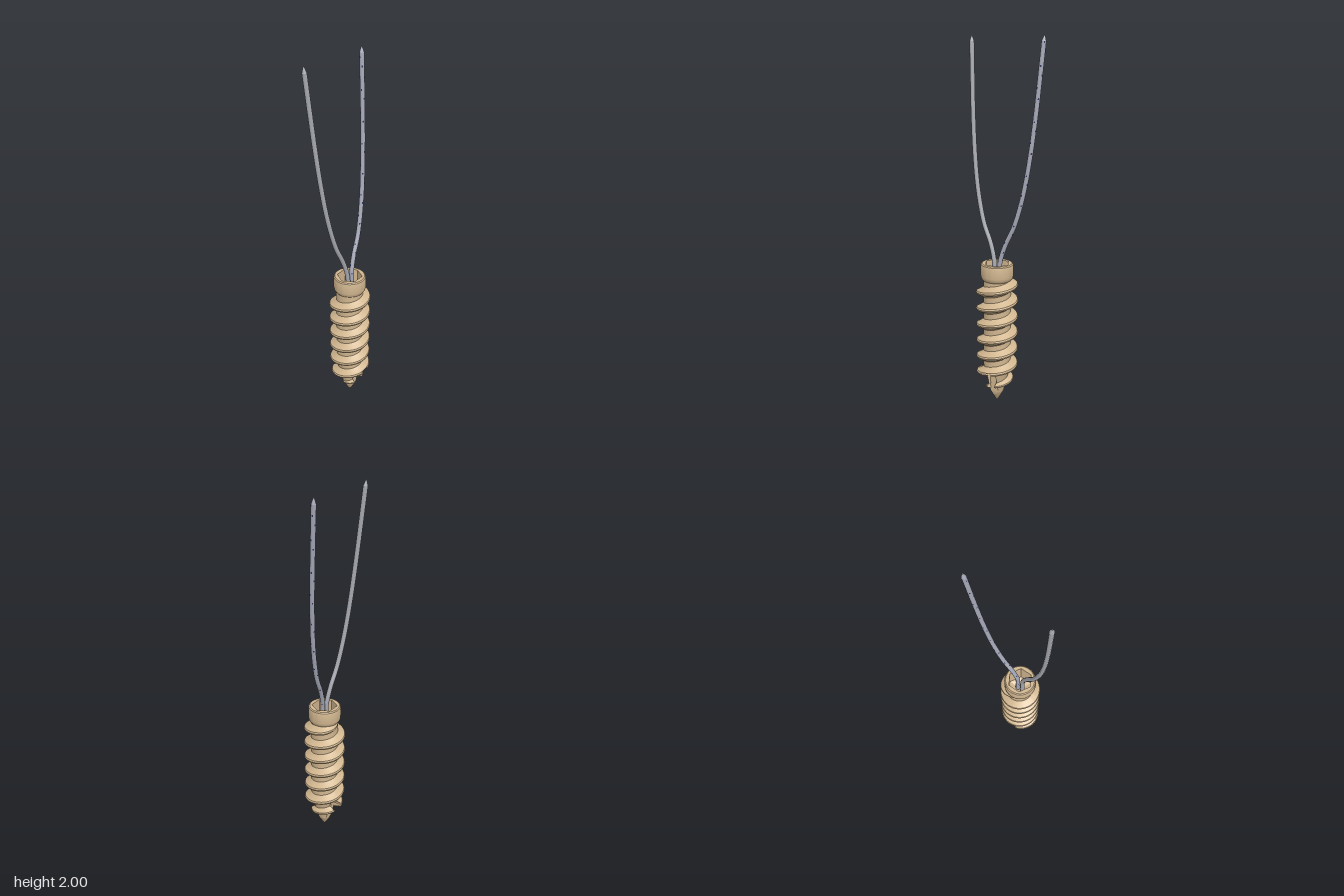
import * as THREE from 'three';
import { toCreasedNormals } from 'three/addons/utils/BufferGeometryUtils.js';

const PITCH = 0.093;
const { lerp, clamp, smoothstep } = THREE.MathUtils;

const mat = (name, color) => {
  const m = new THREE.MeshStandardMaterial({ color });
  m.name = name;
  return m;
};

// radius of the solid core at a height, tapering to the point
function coreRadius(y) {
  const p = [[0, 0.002], [0.06, 0.037], [0.1, 0.047], [0.22, 0.075], [1, 0.075]];
  const i = Math.max(1, p.findIndex(q => q[0] >= y));
  const [a, b] = [p[i - 1], p[i]];
  return lerp(a[1], b[1], clamp((y - a[0]) / (b[0] - a[0]), 0, 1));
}

// cutting flutes: flatten the front and back near the tip
function cutFlutes(geo) {
  const p = geo.attributes.position;
  for (let i = 0; i < p.count; i++) {
    const x = p.getX(i), y = p.getY(i), z = p.getZ(i);
    if (y < 0.2 && y > 0.04 && Math.abs(x) < 0.025 && Math.abs(z) > 0.032) p.setZ(i, Math.sign(z) * 0.032);
  }
  return toCreasedNormals(geo, 0.6);
}

function lathe(points, segments = 72) {
  return new THREE.LatheGeometry(points.map(p => new THREE.Vector2(...p)), segments);
}

// right-handed helical ridge swept along the core
function threadGeometry() {
  const steps = 72, first = Math.round(-6.75 * steps), last = Math.round(0.36 * steps);
  const pos = [], index = [];
  const profile = [[0, -0.033], [0.45, -0.02], [0.92, -0.009], [1, 0], [0.92, 0.009], [0.45, 0.02], [0, 0.033]];
  const n = profile.length;
  for (let i = first; i <= last; i++) {
    const a = i / steps * Math.PI * 2, yc = 0.685 + PITCH * i / steps;
    const outer = Math.min(0.115, 0.04 + (yc - 0.05) * 0.6);
    const fade = smoothstep(i, first, first + 30) * (1 - smoothstep(i, last - 22, last));
    const size = clamp(yc / 0.2, 0.4, 1);
    for (const [h, dy] of profile) {
      const y = yc + dy * size * (0.3 + 0.7 * fade);
      const root = coreRadius(y) - 0.003;
      const r = lerp(root, Math.max(outer, root), h * fade);
      pos.push(r * Math.cos(a), y, -r * Math.sin(a));
    }
  }
  for (let i = 0; i < last - first; i++) {
    for (let j = 0; j < n - 1; j++) {
      const k = i * n + j;
      index.push(k, k + n, k + 1, k + n, k + n + 1, k + 1);
    }
  }
  const g = new THREE.BufferGeometry();
  g.setAttribute('position', new THREE.Float32BufferAttribute(pos, 3));
  g.setIndex(index);
  return cutFlutes(g);
}

export function createModel() {
  const model = new THREE.Group();
  const tan = mat('tan', 0xd2b790);
  const grey = mat('grey', 0xa6a8b0);
  const blueGrey = mat('blueGrey', 0xa6a9b8);
  const navy = mat('navy', 0x2c3560);
  const add = (name, geo, material, parent = model) => {
    const m = new THREE.Mesh(geo, material);
    m.name = name;
    parent.add(m);
    return m;
  };

  // pointed core
  const rows = [[0, 0]];
  for (let y = 0.01; y < 0.245; y += 0.01) rows.push([coreRadius(y), y]);
  rows.push([0.075, 0.5], [0.075, 0.73]);
  add('core', cutFlutes(lathe(rows)), tan);
  add('thread', threadGeometry(), tan);

  // rounded collar at the top
  add('head', toCreasedNormals(lathe([[0.07, 0.712], [0.079, 0.718], [0.086, 0.728], [0.089, 0.742],
    [0.089, 0.797], [0.087, 0.805], [0.081, 0.81], [0.073, 0.81]]), 0.5), tan);

  // hexagonal drive socket with a sunken floor
  const ring = new THREE.Shape().absarc(0, 0, 0.0738, 0, Math.PI * 2);
  const hex = new THREE.Path();
  for (let i = 0; i < 6; i++) {
    const a = i * Math.PI / 3, x = 0.069 * Math.cos(a), y = 0.069 * Math.sin(a);
    i ? hex.lineTo(x, y) : hex.moveTo(x, y);
  }
  hex.closePath();
  ring.holes.push(hex);
  const socket = new THREE.ExtrudeGeometry(ring, { depth: 0.16, bevelEnabled: false, curveSegments: 48 });
  socket.rotateX(-Math.PI / 2).translate(0, 0.65, 0);
  add('driveSocket', socket, tan);
  const floor = new THREE.LatheGeometry([new THREE.Vector2(0.071, 0.67), new THREE.Vector2(0, 0.64)], 6, Math.PI / 6);
  add('socketFloor', toCreasedNormals(floor, 0.05), tan);

  // two suture strands, spreading apart and leaning back
  const strand = [[0.016, 0.65], [0.017, 0.8], [0.026, 0.85], [0.05, 0.92], [0.092, 1.01], [0.125, 1.12],
    [0.152, 1.25], [0.175, 1.42], [0.192, 1.6], [0.206, 1.8], [0.217, 1.97]];
  for (const side of [-1, 1]) {
    const group = new THREE.Group();
    group.name = side > 0 ? 'leftStrand' : 'rightStrand';
    model.add(group);
    const pts = strand.map(([x, y]) => new THREE.Vector3(side * x, y, -0.092 * Math.max(0, y - 0.8) / 1.17));
    const curve = new THREE.CatmullRomCurve3(pts);
    const tube = new THREE.TubeGeometry(curve, 150, 0.0125, 12);
    if (side > 0) {
      // sparse dark flecks woven through one strand
      tube.clearGroups();
      for (let f = 0; f < 150 * 12; f++) tube.addGroup(f * 6, 6, f % 31 === 0 ? 1 : 0);
    }
    add('strand', tube, side > 0 ? [blueGrey, navy] : grey, group);
    // tapered end
    const tip = add('strandTip', new THREE.CylinderGeometry(0.003, 0.0125, 0.03, 12), side > 0 ? blueGrey : grey, group);
    const dir = curve.getTangent(1);
    tip.quaternion.setFromUnitVectors(new THREE.Vector3(0, 1, 0), dir);
    tip.position.copy(pts[pts.length - 1]).addScaledVector(dir, 0.015);
  }
  return model;
}
